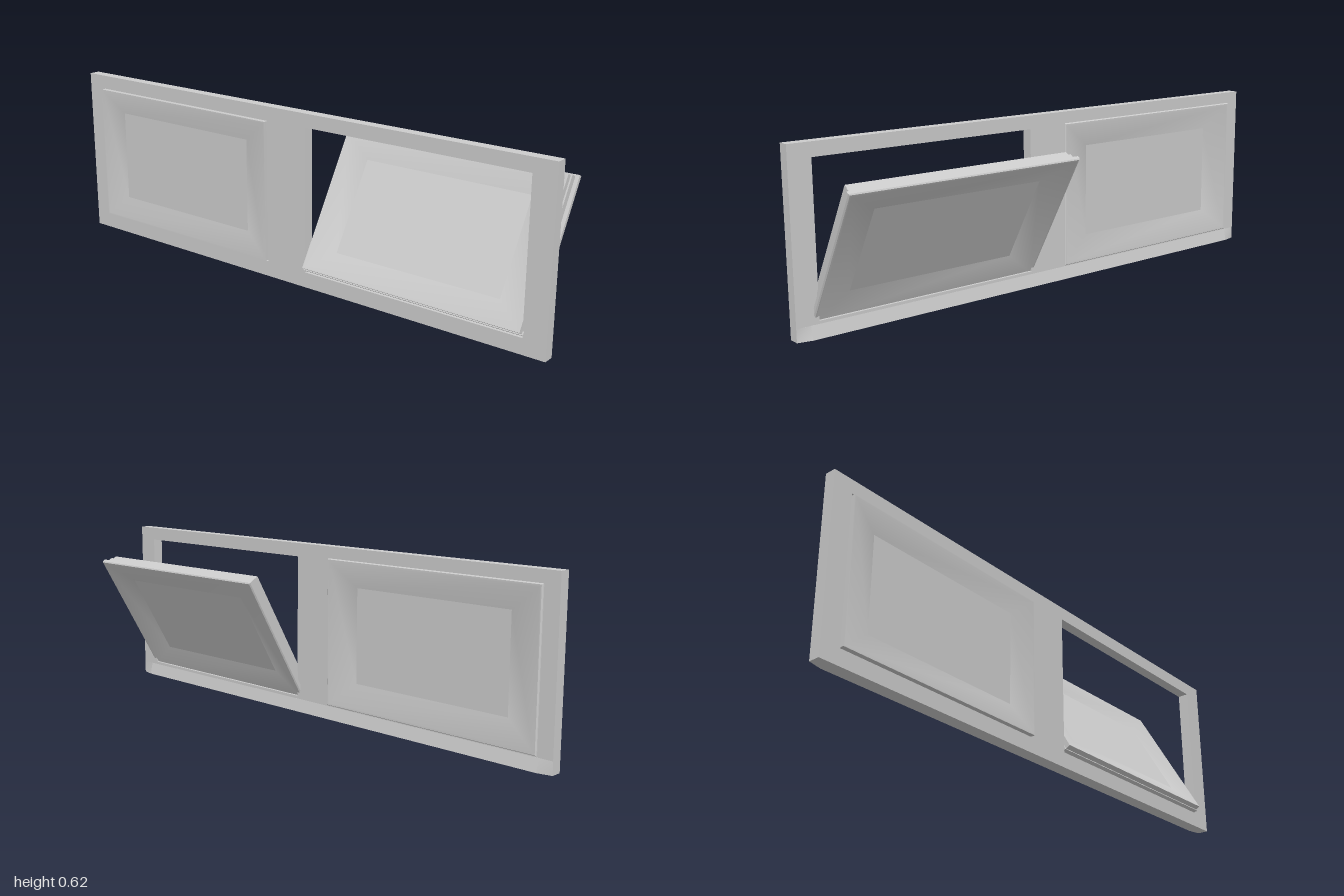
import * as THREE from 'three';
import { toCreasedNormals } from 'three/addons/utils/BufferGeometryUtils.js';

const material = new THREE.MeshStandardMaterial({ color: 0xcccccc });
const SASH_H = 0.502;

function addMesh(parent, name, geometry) {
  const mesh = new THREE.Mesh(geometry, material);
  mesh.name = name;
  parent.add(mesh);
  return mesh;
}

// Rectangular rings [halfWidth, halfHeight, depth] joined into one skin
function loftRings(rings) {
  const positions = [];
  const index = [];
  const corners = [[-1, -1], [1, -1], [1, 1], [-1, 1]];
  for (const [w, h, t] of rings) {
    for (const [sx, sy] of corners) positions.push(sx * w, sy * h, -t);
  }
  for (let i = 0; i < rings.length - 1; i++) {
    for (let j = 0; j < 4; j++) {
      const k = (j + 1) % 4;
      const a0 = i * 4 + j, a1 = i * 4 + k;
      const b0 = a0 + 4, b1 = a1 + 4;
      index.push(b0, b1, a1, b0, a1, a0);
    }
  }
  const geometry = new THREE.BufferGeometry();
  geometry.setAttribute('position', new THREE.Float32BufferAttribute(positions, 3));
  geometry.setIndex(index);
  return toCreasedNormals(geometry, 0.6);
}

// Sash with its front bottom edge at the group origin
function createSash(name) {
  const sash = new THREE.Group();
  sash.name = name;

  // Stepped rim with sloping faces down to the pane on both sides
  const rim = addMesh(sash, 'sashRim', loftRings([
    [0.315, 0.168, 0.02],
    [0.412, 0.246, 0],
    [0.418, 0.251, 0],
    [0.418, 0.251, 0.018],
    [0.423, 0.255, 0.018],
    [0.423, 0.255, 0.04],
    [0.436, 0.262, 0.04],
    [0.436, 0.262, 0.052],
    [0.432, 0.259, 0.056],
    [0.425, 0.252, 0.056],
    [0.315, 0.168, 0.032],
  ]));
  rim.position.y = SASH_H / 2;

  const pane = addMesh(sash, 'pane', new THREE.BoxGeometry(0.63, 0.336, 0.012));
  pane.position.set(0, SASH_H / 2, -0.026);
  return sash;
}

function rectangle(path, x0, y0, x1, y1) {
  path.moveTo(x0, y0);
  path.lineTo(x1, y0);
  path.lineTo(x1, y1);
  path.lineTo(x0, y1);
  path.closePath();
  return path;
}

export function createModel() {
  const model = new THREE.Group();
  model.name = 'doubleWindow';

  // Outer frame with two openings
  const outline = rectangle(new THREE.Shape(), -1, 0, 1, 0.615);
  for (const x of [-0.508, 0.5]) {
    outline.holes.push(rectangle(new THREE.Path(), x - 0.42, 0.055, x + 0.42, 0.567));
  }
  const frame = addMesh(model, 'frame',
    new THREE.ExtrudeGeometry(outline, { depth: 0.039, bevelEnabled: false }));
  frame.position.z = 0.093;

  // Wedge-shaped sill along the back, tapered at its ends
  const sillGeometry = new THREE.BoxGeometry(2, 0.045, 0.011);
  const p = sillGeometry.attributes.position;
  for (let i = 0; i < p.count; i++) {
    if (p.getZ(i) < 0) {
      p.setX(i, p.getX(i) * 0.95);
      if (p.getY(i) > 0) p.setZ(i, 0.0054);
    }
  }
  sillGeometry.computeVertexNormals();
  const sill = addMesh(model, 'sill', sillGeometry);
  sill.position.set(0, 0.0225, 0.0875);

  // Closed sash
  const closedSash = createSash('closedSash');
  closedSash.position.set(-0.508, 0.06, 0.142);
  model.add(closedSash);

  // Sash tilted backwards about its bottom edge
  const openSash = createSash('tiltedSash');
  openSash.position.set(0.502, 0.078, 0.152);
  openSash.rotation.x = -Math.PI / 6;
  model.add(openSash);

  return model;
}
